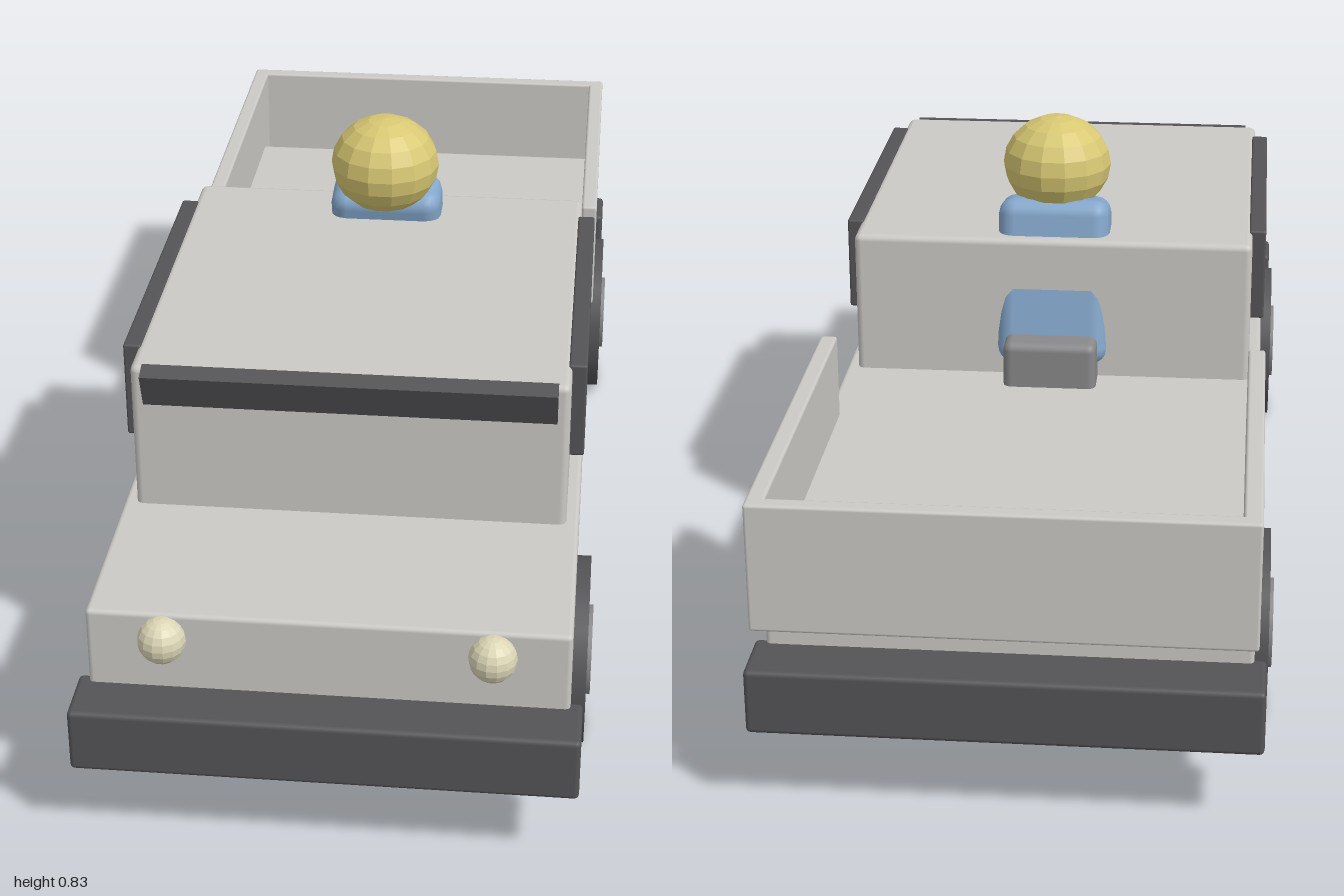
import * as THREE from 'three';
import { RoundedBoxGeometry } from 'three/addons/geometries/RoundedBoxGeometry.js';

const paint = (name, color) => {
  const m = new THREE.MeshStandardMaterial({ color });
  m.name = name;
  return m;
};

export function createModel() {
  const model = new THREE.Group();
  model.name = 'pickupTruck';

  const bodyGrey = paint('bodyGrey', 0xcbc9c5);
  const darkGrey = paint('darkGrey', 0x545356);
  const hubGrey = paint('hubGrey', 0x89888a);
  const cream = paint('cream', 0xdcd6b6);
  const skin = paint('skinYellow', 0xd8c873);
  const blue = paint('shirtBlue', 0x84a7cb);
  const red = paint('seatRed', 0x8c4238);
  skin.flatShading = cream.flatShading = true;

  const add = (name, geometry, material, parent = model) => {
    const mesh = new THREE.Mesh(geometry, material);
    mesh.name = name;
    parent.add(mesh);
    return mesh;
  };

  // Rounded box given by its extents on each axis
  const block = (name, [x0, x1], [y0, y1], [z0, z1], material, r = 0.008) => {
    const mesh = add(name, new RoundedBoxGeometry(x1 - x0, y1 - y0, z1 - z0, 2, r), material);
    mesh.position.set((x0 + x1) / 2, (y0 + y1) / 2, (z0 + z1) / 2);
    return mesh;
  };

  // Body, cab and bumpers
  block('body', [-0.377, 0.377], [0.15, 0.38], [-0.91, 0.915], bodyGrey);
  block('cab', [-0.356, 0.356], [0.36, 0.637], [-0.125, 0.597], bodyGrey, 0.012);
  block('frontBumper', [-0.396, 0.396], [0.138, 0.246], [0.895, 1], darkGrey);
  block('rearBumper', [-0.396, 0.396], [0.138, 0.246], [-1, -0.895], darkGrey);

  // Windscreen leaning forward out of the cab front
  const screen = add('windscreen', new THREE.BoxGeometry(0.672, 0.2, 0.03), darkGrey);
  screen.position.set(0, 0.541, 0.571);
  screen.rotation.x = 0.35;

  // Tailgate of the open load bed
  block('tailgate', [-0.382, 0.382], [0.315, 0.526], [-0.998, -0.97], bodyGrey, 0.005);

  for (const [side, s] of [['right', -1], ['left', 1]]) {
    const span = (a, b) => (s > 0 ? [a, b] : [-b, -a]);
    block(side + 'BedWall', span(0.354, 0.383), [0.315, 0.526], [-0.998, -0.332], bodyGrey, 0.005);
    block(side + 'Window', span(0.35, 0.38), [0.47, 0.638], [-0.048, 0.526], darkGrey, 0.004);
    block(side + 'Shoe', span(0.052, 0.105), [0.124, 0.17], [-0.085, 0.075], darkGrey, 0.012);

    // Headlight
    const lamp = add(side + 'Headlight', new THREE.SphereGeometry(0.038, 14, 10), cream);
    lamp.position.set(s * 0.256, 0.34, 0.924);
  }

  // Wheels: a tyre with a hub cap standing slightly proud on both faces
  const wheel = (name, x, z, r, width, hubR, hubWidth) => {
    const group = new THREE.Group();
    group.name = name;
    add('tyre', new THREE.CylinderGeometry(r, r, width, 24), darkGrey, group);
    add('hub', new THREE.CylinderGeometry(hubR, hubR, hubWidth, 20), hubGrey, group);
    group.rotation.z = Math.PI / 2;
    group.position.set(x, r, z);
    model.add(group);
  };
  for (const [end, z] of [['front', 0.622], ['rear', -0.612]]) {
    wheel(end + 'RightWheel', -0.35, z, 0.155, 0.1, 0.074, 0.114);
    wheel(end + 'LeftWheel', 0.35, z, 0.155, 0.1, 0.074, 0.114);
  }
  // Slim pair of wheels under the middle
  wheel('middleFrontWheel', 0, 0.335, 0.14, 0.036, 0.064, 0.05);
  wheel('middleRearWheel', 0, -0.3, 0.14, 0.036, 0.064, 0.05);

  // Seat parts: cushion below the floor and backrest behind the cab
  block('seatCushion', [-0.08, 0.08], [0.145, 0.2], [-0.29, -0.1], red);
  block('seatBack', [-0.083, 0.083], [0.34, 0.462], [-0.19, -0.1], hubGrey, 0.015);

  // Driver leaning forward through the roof
  const torso = add('torso', new RoundedBoxGeometry(0.2, 0.3, 0.105, 2, 0.03), blue);
  torso.position.set(0, 0.545, -0.071);
  torso.rotation.x = 0.2;
  const head = add('head', new THREE.SphereGeometry(0.097, 14, 10), skin);
  head.scale.y = 0.9;
  head.position.set(0, 0.746, -0.009);

  return model;
}
